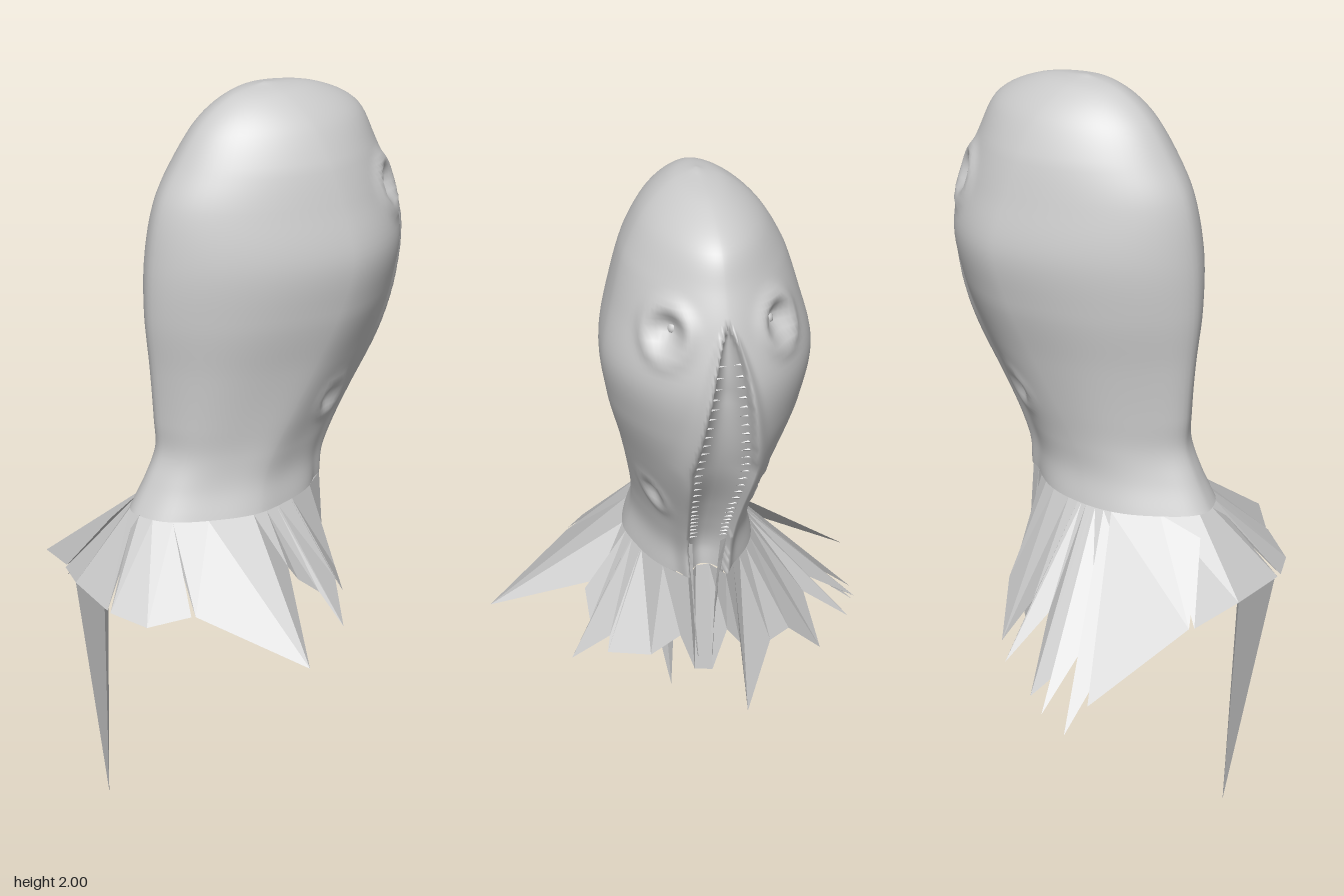
import * as THREE from 'three';
import { mergeVertices } from 'three/addons/utils/BufferGeometryUtils.js';

const V = (x, y, z) => new THREE.Vector3(x, y, z);

// Head sections from top to neck: y, back x, front x, half depth in z, centre x
const SECTIONS = [
  [2.0, 0.08, 0.08, 0, 0.08],
  [1.975, -0.03, 0.24, 0.08, 0.1],
  [1.91, -0.12, 0.36, 0.155, 0.13],
  [1.82, -0.185, 0.405, 0.205, 0.15],
  [1.72, -0.24, 0.445, 0.235, 0.17],
  [1.57, -0.27, 0.478, 0.268, 0.19],
  [1.42, -0.275, 0.46, 0.248, 0.16],
  [1.27, -0.262, 0.41, 0.208, 0.11],
  [1.12, -0.252, 0.325, 0.175, 0.05],
  [1.03, -0.25, 0.278, 0.16, 0.01],
  [0.95, -0.285, 0.245, 0.157, -0.02],
  [0.87, -0.33, 0.235, 0.175, -0.04],
];
const curveA = new THREE.CatmullRomCurve3(SECTIONS.map(s => V(s[0], s[1], s[2])));
const curveB = new THREE.CatmullRomCurve3(SECTIONS.map(s => V(s[3], s[4], 0)));
const EYE = V(0.37, 1.71, 0.137);
const GILL = V(0.2, 1.14, 0.137);

// Sections are superellipses, a little leaner than an ellipse
const LEAN = 1.14;
const lean = v => Math.sign(v) * Math.abs(v) ** LEAN;

// Half width of the upright mouth at height y
function mouthWidth(y) {
  if (y > 1.74) return 0;
  return y > 1.3 ? 0.08 * ((1.74 - y) / 0.44) ** 0.6 : 0.08 - (1.3 - y) * 0.08;
}

// Raised rim and sunken middle of a socket at distance d, in units of its size
const socket = d => 0.012 * Math.exp(-(((d - 1.9) / 0.6) ** 2)) - 0.032 * Math.exp(-(d * d));

// Point on the head; t runs down, angle 0 is the mouth side (+x)
function headPoint(t, angle) {
  const a = curveA.getPoint(t), b = curveB.getPoint(t);
  const y = a.x, cx = b.y, c = lean(Math.cos(angle)), s = lean(Math.sin(angle));
  const fold = 1 + 0.012 * Math.sin(angle * 7 + y * 3) * THREE.MathUtils.smoothstep(1.6 - y, 0, 0.5);
  const p = V(cx + c * (c > 0 ? a.z - cx : cx - a.y) * fold, y, s * Math.max(b.x, 0) * fold);
  // Mouth groove with raised lips
  const w = mouthWidth(y);
  if (w > 0 && c > 0) {
    const k = Math.abs(p.z) / w;
    if (k < 1) p.x -= 0.07 * (1 - k * k) * Math.min(1, w / 0.05);
    else p.x += 0.02 * Math.exp(-(((k - 1.2) / 0.3) ** 2));
  }
  // Eye sockets and smaller gill pits low on the cheeks
  const side = V(p.x, y, Math.abs(p.z));
  const push = socket(side.distanceTo(EYE) / 0.035) + 0.5 * socket(side.distanceTo(GILL) / 0.028);
  p.x += push * 0.75;
  p.z += push * 0.65 * Math.sign(s) - 0.006;
  return p;
}

// Grid surface from a point function, rows running down and columns around
function surface(rows, cols, fn) {
  const pos = [], idx = [];
  for (let i = 0; i <= rows; i++)
    for (let j = 0; j <= cols; j++) pos.push(...fn(i / rows, j / cols).toArray());
  for (let i = 0; i < rows; i++)
    for (let j = 0; j < cols; j++) {
      const a = i * (cols + 1) + j, b = a + cols + 1;
      idx.push(a, a + 1, b, a + 1, b + 1, b);
    }
  const g = new THREE.BufferGeometry();
  g.setAttribute('position', new THREE.Float32BufferAttribute(pos, 3));
  g.setIndex(idx);
  return g;
}

// Torn hem, going round from +x through +z, -x and -z; slits return to the same corner
const HEM = [
  [0.23, 0.56, 0.03], [0.23, 0.68, 0.07], [0.22, 0.62, 0.15], [0.17, 0.61, 0.26],
  [0.15, 0.65, 0.25], [0.11, 0.56, 0.35], [0.07, 0.65, 0.29], [0.0, 0.71, 0.29],
  [-0.005, 0.73, 0.25], [-0.13, 0.6, 0.54], [-0.32, 0.69, 0.285], [-0.285, 0.82, 0.12],
  [-0.33, 0.69, 0.28], [-0.43, 0.66, 0.22], [-0.48, 0.67, 0.115], [-0.36, 0.85, 0.025],
  [-0.48, 0.67, 0.1], [-0.475, 0.67, -0.08], [-0.43, 0.64, -0.22], [-0.355, 0.83, -0.09],
  [-0.42, 0.64, -0.23], [-0.32, 0.52, -0.54], [-0.285, 0.68, -0.27],
  [-0.25, 0.41, -0.55], [-0.19, 0.6, -0.35], [-0.16, 0.43, -0.53], [-0.14, 0.5, -0.46],
  [-0.12, 0.47, -0.525], [-0.05, 0.62, -0.355], [0.01, 0.5, -0.47], [0.025, 0.62, -0.33],
  [0.11, 0.48, -0.36], [0.17, 0.61, -0.25], [0.2, 0.6, -0.19], [0.2, 0.36, -0.13],
  [0.22, 0.62, -0.1], [0.23, 0.68, -0.06], [0.23, 0.55, -0.02],
];

export function createModel() {
  const group = new THREE.Group();
  const skin = new THREE.MeshStandardMaterial({ color: 0xcccccc, side: THREE.DoubleSide });
  const ragged = new THREE.MeshStandardMaterial({ color: 0xcccccc, side: THREE.DoubleSide, flatShading: true });
  const add = (name, geometry, material, parent = group) => {
    const mesh = new THREE.Mesh(geometry, material);
    mesh.name = name;
    parent.add(mesh);
    return mesh;
  };

  // Head, with columns packed closer around the mouth
  const head = mergeVertices(surface(80, 120, (t, u) => {
    const a = (u - 0.5) * Math.PI * 2;
    return headPoint(t, a - 0.65 * Math.sin(a));
  }), 1e-5);
  head.computeVertexNormals();
  add('head', head, skin);

  // Ragged skirt flaring out of the neck; neck angles never run backwards
  let reached = 0;
  const neck = HEM.map(([x, , z]) => {
    const a = Math.atan2(z * 1.5, x + 0.04);
    reached = Math.max(reached, a < 0 ? a + Math.PI * 2 : a);
    return headPoint(1, reached);
  });
  const skirt = surface(1, HEM.length, (t, u) => {
    const i = Math.round(u * HEM.length) % HEM.length;
    return neck[i].clone().lerp(V(...HEM[i]), t);
  });
  skirt.computeVertexNormals();
  add('skirt', skirt, ragged);

  // Long hanging shred joined to the back of the hem
  const shred = new THREE.ConeGeometry(1, 1, 3, 1, true);
  const corners = [[-0.48, 0.67, 0.085], [-0.475, 0.67, -0.08], [-0.42, 0.67, 0]];
  const sp = shred.attributes.position;
  for (let i = 0; i < sp.count; i++)
    sp.setXYZ(i, ...(sp.getY(i) > 0 ? [-0.412, 0, -0.04] : corners[i % 4 % 3]));
  shred.computeVertexNormals();
  add('hangingShred', shred, ragged);

  // Rows of small teeth along both lips
  const teeth = new THREE.Group();
  teeth.name = 'teeth';
  group.add(teeth);
  const tooth = new THREE.ConeGeometry(0.005, 0.028, 4);
  for (const side of [1, -1]) {
    for (let i = 0; i < 26; i++) {
      const t = 0.41 + i * 0.018;
      const a = curveA.getPoint(t), b = curveB.getPoint(t);
      const w = mouthWidth(a.x) * 0.85;
      const p = headPoint(t, side * Math.asin((w / b.x) ** (1 / LEAN)));
      const mesh = add('tooth', tooth, ragged, teeth);
      mesh.position.set(p.x, p.y, p.z - side * 0.006);
      mesh.rotation.x = -side * Math.PI / 2;
    }
  }

  // Eyes sunk in their sockets, and lip strips trailing below the mouth
  for (const side of [1, -1]) {
    const name = side > 0 ? 'left' : 'right';
    const eye = add(name + 'Eye', new THREE.SphereGeometry(0.016, 12, 8), skin);
    eye.position.set(EYE.x - 0.022, EYE.y, side * (EYE.z - 0.02) - 0.006);
    const strip = surface(5, 2, (t, u) =>
      V(0.235 - 0.02 * Math.sin(t * 3) - 0.02 * u, 0.98 - 0.38 * t,
        side * (0.055 - 0.035 * t + (u - 0.5) * 0.035 * (1 - t))));
    strip.computeVertexNormals();
    add(name + 'LipStrip', strip, ragged);
  }
  return group;
}
